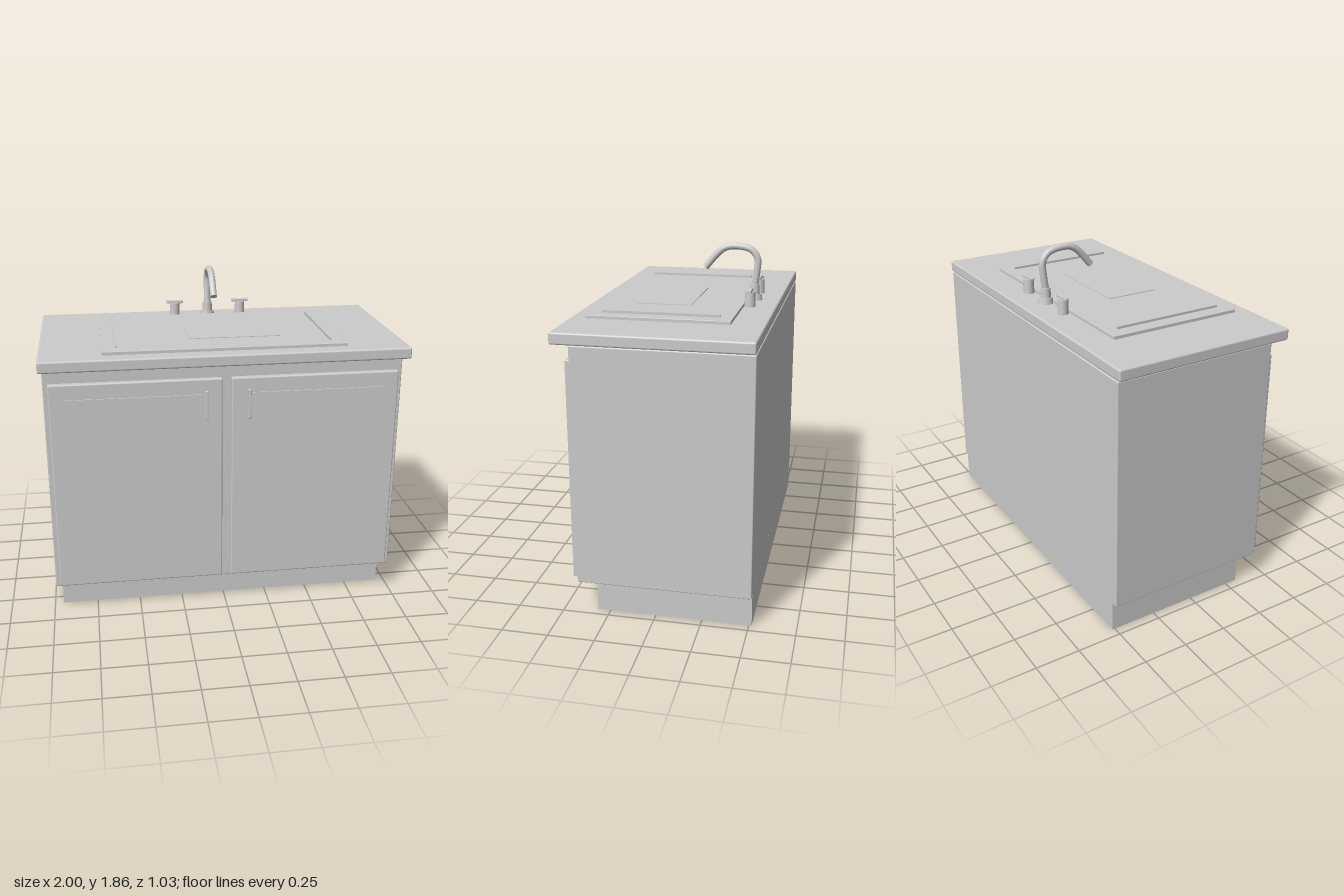
import * as THREE from 'three';
import { RoundedBoxGeometry } from 'three/addons/geometries/RoundedBoxGeometry.js';

export function createModel() {
  const group = new THREE.Group();
  const grey = new THREE.MeshStandardMaterial({ color: 0xcccccc });
  grey.name = 'light grey';

  function add(name, geometry, parent = group) {
    const mesh = new THREE.Mesh(geometry, grey);
    mesh.name = name;
    parent.add(mesh);
    return mesh;
  }
  // Box given by its extents, with an optional rounded edge
  function box(name, [x0, x1], [y0, y1], [z0, z1], radius = 0, parent = group) {
    const size = [x1 - x0, y1 - y0, z1 - z0];
    const geometry = radius
      ? new RoundedBoxGeometry(...size, 2, radius)
      : new THREE.BoxGeometry(...size);
    geometry.translate((x0 + x1) / 2, (y0 + y1) / 2, (z0 + z1) / 2);
    return add(name, geometry, parent);
  }
  // Upright cylinder between two heights
  function post(name, x, z, y0, y1, rBottom, rTop, parent = group) {
    const geometry = new THREE.CylinderGeometry(rTop, rBottom, y1 - y0, 24);
    geometry.translate(x, (y0 + y1) / 2, z);
    return add(name, geometry, parent);
  }

  // Cabinet body
  box('toeKick', [-0.95, 0.95], [0, 0.175], [-0.515, 0.32]);
  box('cabinet', [-0.983, 0.983], [0.17, 1.47], [-0.515, 0.42], 0.006);
  box('counterSupport', [-0.97, 0.97], [1.46, 1.48], [-0.505, 0.41]);
  box('countertop', [-1, 1], [1.474, 1.537], [-0.515, 0.515], 0.01);

  // Doors with raised panels and bar handles
  for (const side of [-1, 1]) {
    const door = new THREE.Group();
    door.name = side < 0 ? 'rightDoor' : 'leftDoor';
    group.add(door);
    const span = (a, b) => (side > 0 ? [a, b] : [-b, -a]);
    box('doorSlab', span(0.025, 0.957), [0.188, 1.39], [0.415, 0.452], 0.008, door);
    box('doorPanel', span(0.11, 0.872), [0.27, 1.305], [0.44, 0.458], 0, door);
    box('handleBar', span(0.109, 0.125), [1.172, 1.336], [0.486, 0.502], 0.003, door);
    for (const y of [1.19, 1.318]) {
      box('handleMount', span(0.111, 0.123), [y - 0.006, y + 0.006], [0.45, 0.49], 0, door);
    }
  }

  // Sink cover with side ridges and a thin board on top
  const sink = new THREE.Group();
  sink.name = 'sink';
  group.add(sink);
  box('sinkPlate', [-0.665, 0.665], [1.53, 1.555], [-0.338, 0.43], 0.003, sink);
  for (const x of [-0.585, 0.585]) {
    box('sinkRidge', [x - 0.005, x + 0.005], [1.55, 1.568], [-0.27, 0.362], 0, sink);
  }
  box('thinBoard', [-0.18, 0.33], [1.553, 1.559], [-0.065, 0.238], 0, sink);

  // Tap handles
  for (const x of [-0.2, 0.2]) {
    const tap = new THREE.Group();
    tap.name = x < 0 ? 'rightTap' : 'leftTap';
    group.add(tap);
    post('tapStem', x, -0.37, 1.53, 1.62, 0.031, 0.028, tap);
    box('tapLever', [x - 0.05, x + 0.05], [1.617, 1.635], [-0.382, -0.358], 0.004, tap);
  }

  // Faucet with a bent spout
  const faucet = new THREE.Group();
  faucet.name = 'faucet';
  group.add(faucet);
  post('faucetFlange', 0, -0.37, 1.53, 1.57, 0.045, 0.038, faucet);
  post('faucetBody', 0, -0.368, 1.56, 1.625, 0.03, 0.027, faucet);
  const path = new THREE.CatmullRomCurve3([
    [1.6, -0.365], [1.7, -0.379], [1.775, -0.38], [1.82, -0.345],
    [1.838, -0.27], [1.832, -0.205], [1.808, -0.165], [1.715, -0.083],
  ].map(([y, z]) => new THREE.Vector3(0, y, z)));
  add('spout', new THREE.TubeGeometry(path, 40, 0.0195, 16), faucet);

  // Flat end of the spout
  const tip = add('spoutTip', new THREE.CircleGeometry(0.0195, 16), faucet);
  tip.position.copy(path.getPoint(1));
  tip.quaternion.setFromUnitVectors(new THREE.Vector3(0, 0, 1), path.getTangent(1));

  return group;
}
